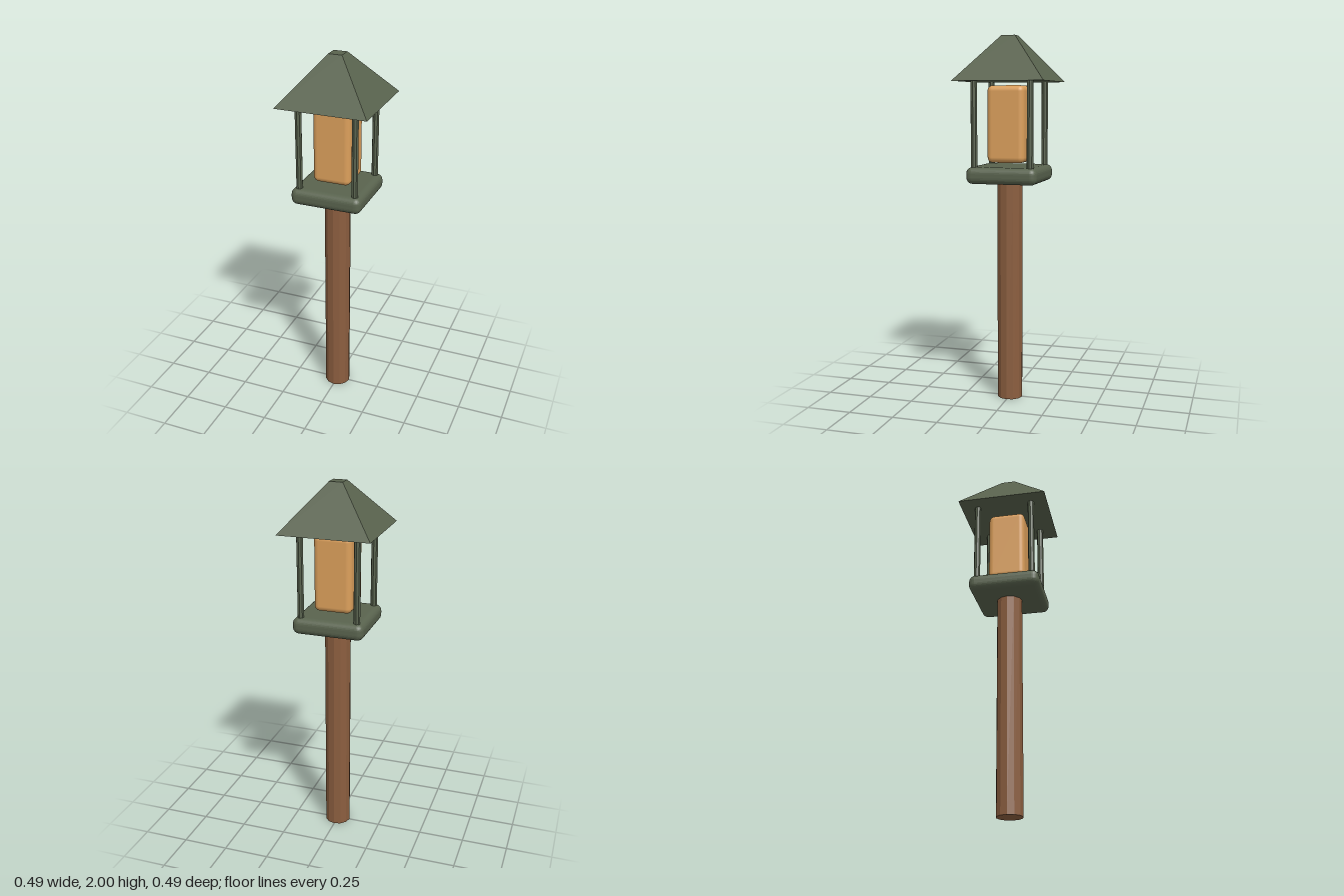
import * as THREE from 'three';
import { RoundedBoxGeometry } from 'three/addons/geometries/RoundedBoxGeometry.js';

export function createModel() {
  const model = new THREE.Group();
  model.name = 'gardenLantern';

  const material = (name, color, flatShading = false) => {
    const m = new THREE.MeshStandardMaterial({ color, flatShading });
    m.name = name;
    return m;
  };
  const wood = material('brownWood', 0x8b5e3f, true);
  const metal = material('greenMetal', 0x59634e, true);
  const glass = material('amberGlass', 0xdb9f5b);

  const add = (name, geometry, mat, x, y, z) => {
    const mesh = new THREE.Mesh(geometry, mat);
    mesh.name = name;
    mesh.position.set(x, y, z);
    model.add(mesh);
    return mesh;
  };

  // Wooden post
  add('post', new THREE.CylinderGeometry(0.071, 0.071, 1.22, 12), wood, 0, 0.61, 0);

  // Rounded tray carrying the lantern
  add('tray', new RoundedBoxGeometry(0.39, 0.09, 0.39, 4, 0.035), metal, 0, 1.26, 0);

  // Glowing body
  add('lampBody', new RoundedBoxGeometry(0.206, 0.412, 0.206, 4, 0.03), glass, 0, 1.53, 0);

  // Four corner rods between tray and roof
  const rod = new THREE.CylinderGeometry(0.018, 0.018, 0.47, 8);
  for (const x of [-1, 1]) {
    for (const z of [-1, 1]) {
      add(`cornerRod${x > 0 ? 'Left' : 'Right'}${z > 0 ? 'Front' : 'Back'}`,
        rod, metal, x * 0.154, 1.53, z * 0.154);
    }
  }

  // Truncated pyramid roof, turned so its sides face the axes
  const roof = new THREE.CylinderGeometry(0.037 * Math.SQRT2, 0.247 * Math.SQRT2, 0.243, 4);
  roof.rotateY(Math.PI / 4);
  add('roof', roof, metal, 0, 1.8785, 0);

  return model;
}
